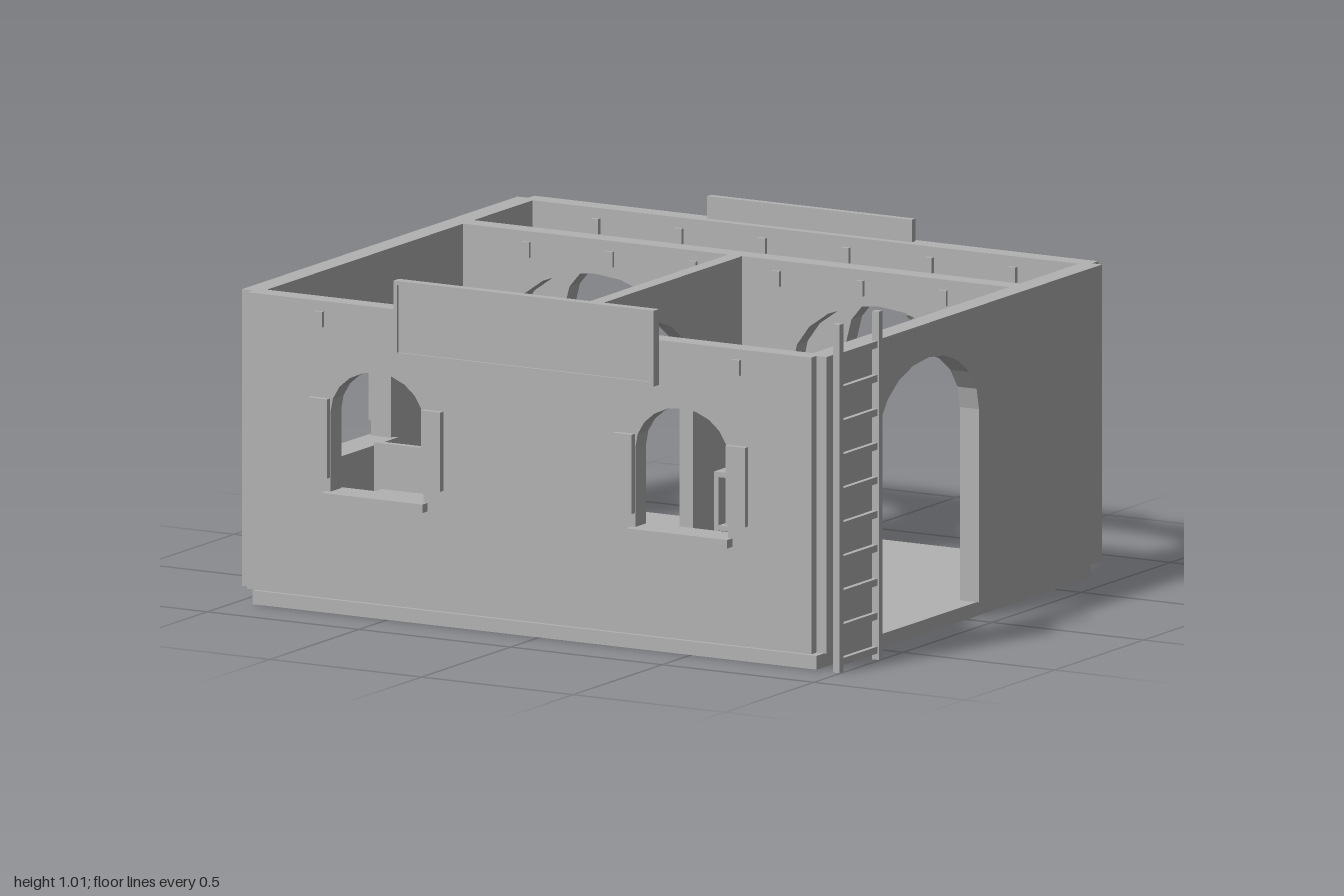
import * as THREE from 'three';

export function createModel() {
  const model = new THREE.Group();
  const plaster = new THREE.MeshStandardMaterial({ color: 0xb2b2b2 });
  plaster.name = 'grey';
  plaster.side = THREE.DoubleSide;

  const add = (name, geometry, parent = model) => {
    const mesh = new THREE.Mesh(geometry, plaster);
    mesh.name = name;
    parent.add(mesh);
    return mesh;
  };
  // Box given by its limits on each axis
  const box = (name, x0, x1, y0, y1, z0, z1, parent) => {
    const g = new THREE.BoxGeometry(x1 - x0, y1 - y0, z1 - z0);
    g.translate((x0 + x1) / 2, (y0 + y1) / 2, (z0 + z1) / 2);
    return add(name, g, parent);
  };
  const group = (name) => {
    const g = new THREE.Group();
    g.name = name;
    model.add(g);
    return g;
  };
  // Round bar between two points
  const bar = (name, a, b, r, parent) => {
    const d = b.clone().sub(a);
    const m = add(name, new THREE.CylinderGeometry(r, r, d.length(), 8), parent);
    m.position.copy(a).add(b).multiplyScalar(0.5);
    m.quaternion.setFromUnitVectors(new THREE.Vector3(0, 1, 0), d.normalize());
  };

  const BASE = 0.05, TOP = 0.91;
  // Outline of an arched opening, from bottom left over the top to bottom right
  const arch = (c, half, bottom, spring, top) => {
    const pts = [new THREE.Vector2(c - half, bottom)];
    for (let i = 0; i <= 10; i++) {
      const t = Math.PI * (1 - i / 10);
      pts.push(new THREE.Vector2(c + half * Math.cos(t), spring + (top - spring) * Math.sin(t)));
    }
    pts.push(new THREE.Vector2(c + half, bottom));
    return pts;
  };
  const door = (c, half) => arch(c, half, BASE, 0.61, 0.81);
  const windowArch = (c) => arch(c, 0.153, 0.36, 0.59, 0.72);

  // Wall panel with doors cut from its foot and windows as holes
  const wallGeometry = (u0, u1, thick, doors, windows) => {
    const outline = [new THREE.Vector2(u0, BASE), ...doors.flat(),
      new THREE.Vector2(u1, BASE), new THREE.Vector2(u1, TOP), new THREE.Vector2(u0, TOP)];
    const shape = new THREE.Shape(outline);
    windows.forEach((w) => shape.holes.push(new THREE.Path(w)));
    return new THREE.ExtrudeGeometry(shape, { depth: thick, bevelEnabled: false });
  };
  const wallX = (name, x0, x1, z0, z1, doors, windows = []) =>
    add(name, wallGeometry(x0, x1, z1 - z0, doors, windows).translate(0, 0, z0));
  const wallZ = (name, x0, x1, z0, z1, doors, windows = []) =>
    add(name, wallGeometry(z0, z1, x1 - x0, doors, windows).rotateY(-Math.PI / 2).translate(x1, 0, 0));

  // Floor and walls
  box('floor', -0.945, 0.915, 0, 0.04, -0.7, 0.84);
  wallX('frontWall', -0.945, 0.915, 0.81, 0.87, [], [windowArch(-0.517), windowArch(0.488)]);
  wallX('backWall', -0.945, 0.915, -0.74, -0.68, [door(-0.48, 0.33), door(0.45, 0.33)]);
  wallX('middleWall', -0.915, 0.885, -0.35, -0.29, [door(-0.485, 0.283), door(0.455, 0.283)]);
  wallZ('rightWall', -0.98, -0.915, -0.705, 0.84, [], [windowArch(0.268)]);
  wallZ('leftWall', 0.885, 0.948, -0.705, 0.84, [door(0.268, 0.283)]);
  wallZ('dividingWall', -0.04, 0.005, -0.29, 0.81, [door(0.268, 0.283)]);

  // Sills and shutters
  const windows = group('windowFittings');
  for (const c of [-0.517, 0.488]) {
    box('sill', c - 0.167, c + 0.167, 0.335, 0.36, 0.8, 0.9, windows);
    for (const s of [-1, 1]) {
      const m = c + s * 0.187;
      box('shutter', m - 0.032, m + 0.032, 0.4, 0.63, 0.868, 0.888, windows);
    }
  }
  box('sill', -0.995, -0.9, 0.335, 0.36, 0.1, 0.43, windows);
  for (const m of [0.07, 0.46]) box('shutter', -0.997, -0.978, 0.4, 0.63, m - 0.031, m + 0.031, windows);

  // Beam ends showing through the walls
  const beams = group('beamEnds');
  for (let i = 0; i < 6; i++) {
    const x = -0.705 + i * 0.275;
    box('beamEnd', x - 0.013, x + 0.013, 0.835, 0.88, 0.798, 0.88, beams);
    box('beamEnd', x - 0.013, x + 0.013, 0.835, 0.88, -0.36, -0.28, beams);
    box('beamEnd', x - 0.013, x + 0.013, 0.835, 0.88, -0.7, -0.668, beams);
  }

  // Sign boards
  const sign = group('frontSign');
  box('signBoard', -0.435, 0.405, 0.79, 0.99, 0.872, 0.892, sign);
  for (const y of [0.78, 0.988]) box('signEdge', -0.445, 0.413, y, y + 0.012, 0.87, 0.9, sign);
  for (const x of [-0.445, 0.401]) box('signEdge', x, x + 0.012, 0.78, 1.0, 0.87, 0.9, sign);
  box('backSign', -0.355, 0.32, 0.85, 0.975, -0.728, -0.706);

  // Ladder
  const ladder = group('ladder');
  for (const z of [0.62, 0.84]) box('rail', 0.975, 0.997, 0, 1.01, z - 0.01, z + 0.01, ladder);
  for (let i = 0; i < 10; i++) {
    const y = 0.915 - i * 0.0985;
    box('rung', 0.977, 0.992, y - 0.01, y + 0.01, 0.625, 0.835, ladder);
  }

  // Awning: cloth hanging between two struts, sagging toward its middle
  const awning = group('awning');
  const cloth = new THREE.PlaneGeometry(0.97, 0.16, 32, 8).rotateX(-Math.PI / 2).translate(-0.015, 0, -0.82);
  const p = cloth.attributes.position;
  for (let i = 0; i < p.count; i++) {
    const v = (-0.74 - p.getZ(i)) / 0.16;
    const wave = 0.5 - 0.5 * Math.cos((2 * Math.PI * (p.getX(i) - 0.295)) / 0.62);
    p.setY(i, 0.8 - 0.008 * v - 0.022 * Math.sin(Math.PI * v) - 0.022 * wave * Math.sqrt(Math.max(v, 0)));
  }
  cloth.computeVertexNormals();
  add('cloth', cloth, awning);
  for (const x of [-0.325, 0.295]) {
    bar('strut', new THREE.Vector3(x, 0.685, -0.735), new THREE.Vector3(x, 0.79, -0.89), 0.009, awning);
    bar('arm', new THREE.Vector3(x, 0.79, -0.735), new THREE.Vector3(x, 0.786, -0.895), 0.009, awning);
  }

  // Bed
  const bed = group('bed');
  box('mattress', -0.865, -0.605, 0.06, 0.22, 0.28, 0.77, bed);
  box('headboard', -0.872, -0.6, 0.05, 0.38, 0.262, 0.284, bed);
  box('pillow', -0.84, -0.63, 0.215, 0.25, 0.295, 0.41, bed);

  // Open shelves
  const shelves = group('shelves');
  for (const x of [0.55, 0.83]) box('side', x, x + 0.015, 0.04, 0.53, 0.665, 0.795, shelves);
  for (const y of [0.06, 0.21, 0.36, 0.515]) box('board', 0.55, 0.845, y, y + 0.015, 0.665, 0.795, shelves);
  box('book', 0.58, 0.67, 0.374, 0.39, 0.69, 0.77, shelves);
  add('pot', new THREE.CylinderGeometry(0.035, 0.03, 0.08, 16), shelves).position.set(0.74, 0.265, 0.73);

  box('rug', -0.19, 0.155, 0.04, 0.049, 0.56, 0.75);
  return model;
}
